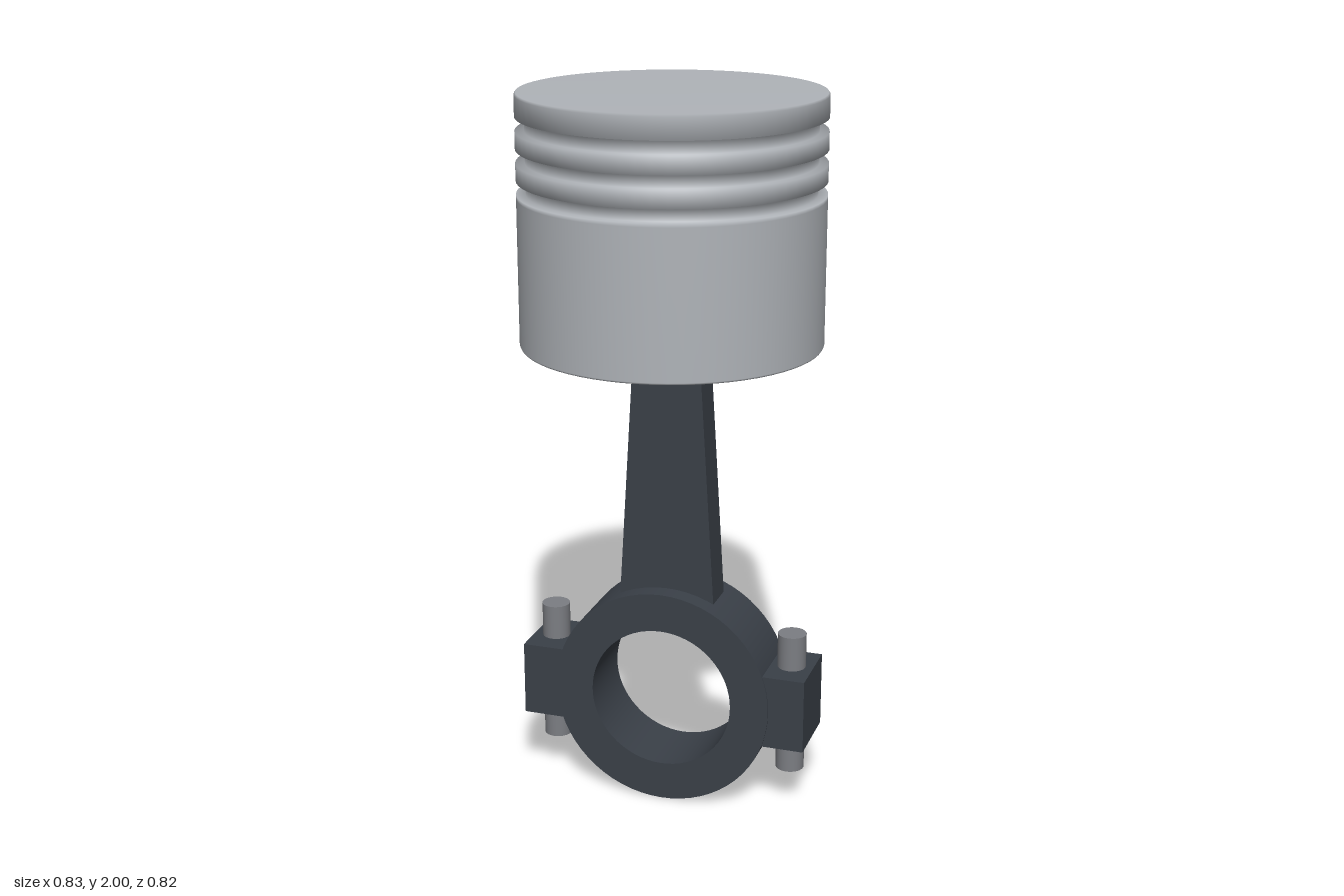
import * as THREE from 'three';

export function createModel() {
  const model = new THREE.Group();
  const mat = (name, color) => {
    const m = new THREE.MeshStandardMaterial({ color });
    m.name = name;
    return m;
  };
  const alloy = mat('light alloy', 0xb0b4b9);
  const iron = mat('dark iron', 0x3a4048);
  const steel = mat('grey steel', 0x7c7e83);

  const add = (name, geometry, material, x = 0, y = 0, z = 0) => {
    const mesh = new THREE.Mesh(geometry, material);
    mesh.name = name;
    mesh.position.set(x, y, z);
    model.add(mesh);
    return mesh;
  };

  const CRANK_Y = 0.3135, PIN_Y = 1.63;
  const R = 0.41, GROOVE = 0.385, BORE = 0.37;

  // Piston: hollow skirt, two ring lands and crown, from inner ceiling round to the top
  const profile = [
    [0, 1.83], [BORE - 0.005, 1.83], [BORE, 1.825], [BORE, 1.33], [BORE + 0.003, 1.325],
    [R - 0.003, 1.325], [R, 1.33], [R, 1.725], [R, 1.735],
    [GROOVE, 1.735], [GROOVE, 1.77],
    [R, 1.77], [R, 1.817], [GROOVE, 1.817], [GROOVE, 1.853],
    [R, 1.853], [R, 1.9], [GROOVE, 1.9], [GROOVE, 1.937],
    [R, 1.937], [R, 1.994], [R - 0.004, 2], [0, 2],
  ].map(([x, y]) => new THREE.Vector2(x, y));
  add('piston', new THREE.LatheGeometry(profile, 64), alloy);

  // Wrist pin across the piston and the rod's small end around it
  const pin = new THREE.CylinderGeometry(0.12, 0.12, 0.74, 32).rotateZ(Math.PI / 2);
  add('wristPin', pin, steel, 0, PIN_Y);
  const smallEnd = new THREE.CylinderGeometry(0.164, 0.164, 0.205, 40).rotateX(Math.PI / 2);
  add('smallEnd', smallEnd, iron, 0, PIN_Y);

  // Tapered connecting rod
  const rod = new THREE.Shape([[-0.139, 0.56], [0.139, 0.56], [0.075, PIN_Y], [-0.075, PIN_Y]]
    .map(([x, y]) => new THREE.Vector2(x, y)));
  add('connectingRod', new THREE.ExtrudeGeometry(rod, { depth: 0.1, bevelEnabled: false })
    .translate(0, 0, -0.05), iron);

  // Big end: a square-edged bearing ring, smooth around its circumference
  const ri = 0.204, ro = 0.3135, h = 0.104;
  const ringWall = (r, dir) => new THREE.LatheGeometry(
    [new THREE.Vector2(r, -h * dir), new THREE.Vector2(r, h * dir)], 64).rotateX(Math.PI / 2);
  add('bigEndOuterWall', ringWall(ro, 1), iron, 0, CRANK_Y);
  add('bigEndInnerWall', ringWall(ri, -1), iron, 0, CRANK_Y);
  add('bigEndFrontFace', new THREE.RingGeometry(ri, ro, 64), iron, 0, CRANK_Y, h);
  add('bigEndBackFace', new THREE.RingGeometry(ri, ro, 64).rotateY(Math.PI), iron, 0, CRANK_Y, -h);

  // Clamping lugs and their bolts on both sides
  for (const [side, s] of [['left', 1], ['right', -1]]) {
    add(side + 'Lug', new THREE.BoxGeometry(0.163, 0.212, 0.2), iron, s * 0.3325, CRANK_Y);
    add(side + 'Bolt', new THREE.CylinderGeometry(0.04, 0.04, 0.41, 24), steel, s * 0.352, CRANK_Y);
  }
  return model;
}
